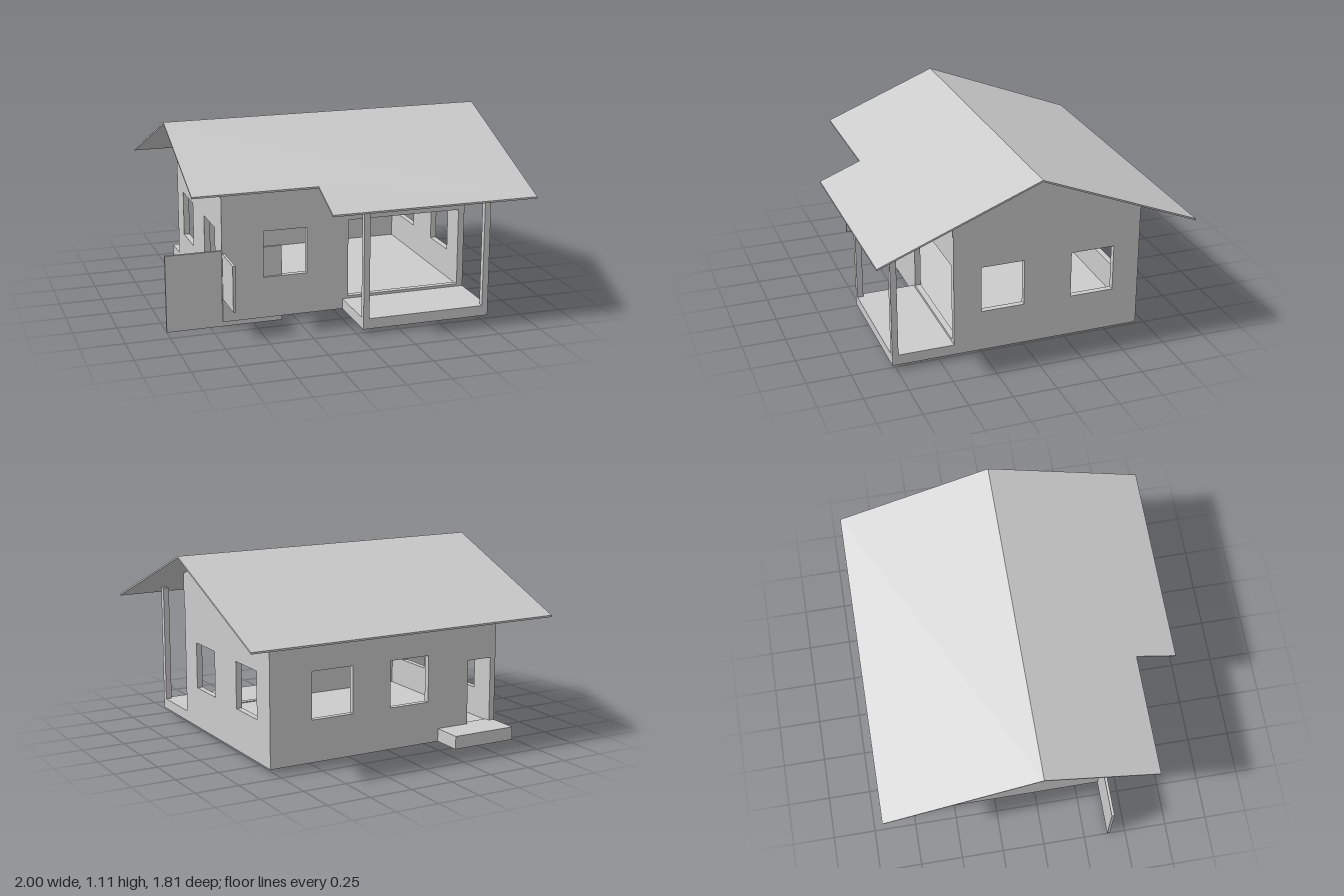
import * as THREE from 'three';

const T = 0.035;                       // wall thickness
const RIDGE = 1.095, SLOPE = 0.398;    // underside of the roof
const roofY = z => RIDGE - SLOPE * Math.abs(z);

const mat = new THREE.MeshStandardMaterial({ color: 0xcccccc, flatShading: true });

function add(parent, name, geo) {
  const m = new THREE.Mesh(geo, mat);
  m.name = name;
  parent.add(m);
  return m;
}

// Box given by its limits on each axis
function box(parent, name, x0, x1, y0, y1, z0, z1) {
  const g = new THREE.BoxGeometry(x1 - x0, y1 - y0, z1 - z0);
  g.translate((x0 + x1) / 2, (y0 + y1) / 2, (z0 + z1) / 2);
  return add(parent, name, g);
}

// Outline with rectangular openings [x0, x1, y0, y1], extruded along z
function panel(points, holes, depth) {
  const shape = new THREE.Shape(points.map(p => new THREE.Vector2(...p)));
  for (const [a, b, c, d] of holes) {
    shape.holes.push(new THREE.Path([[a, c], [a, d], [b, d], [b, c]].map(p => new THREE.Vector2(...p))));
  }
  return new THREE.ExtrudeGeometry(shape, { depth, bevelEnabled: false });
}

const rect = (x0, x1, y0, y1) => [[x0, y0], [x1, y0], [x1, y1], [x0, y1]];

// Roof slope: plan outline in x and -z, laid flat and then sheared to the pitch
function roofSlope(points) {
  const g = panel(points, [], 0.01);
  g.rotateX(-Math.PI / 2);
  const p = g.attributes.position;
  for (let i = 0; i < p.count; i++) p.setY(i, p.getY(i) + roofY(p.getZ(i)));
  g.computeVertexNormals();
  return g;
}

export function createModel() {
  const house = new THREE.Group();
  house.name = 'house';
  const X0 = -0.68, X1 = 0.78, Z0 = -0.68, Z1 = 0.42, BASE = 0.03;
  const winY = [0.27, 0.54];

  // Front wall with a window and the wide porch opening
  const front = panel(rect(X0, X1, BASE, roofY(Z1)),
    [[-0.44, -0.185, ...winY], [0.063, 0.743, 0.105, 0.56]], T);
  add(house, 'frontWall', front.translate(0, 0, Z1 - T));

  // Back wall with two windows and a door
  const back = panel(rect(X0, X1, BASE, roofY(Z0)),
    [[0.27, 0.525, ...winY], [-0.22, 0.03, ...winY], [-0.645, -0.49, 0.105, 0.48]], T);
  add(house, 'backWall', back.translate(0, 0, Z0));

  // Gabled side walls with two windows each
  for (const [name, outer] of [['leftWall', X1], ['rightWall', X0 + T]]) {
    const g = panel(
      [[Z0 + T, BASE], [Z1 - T, BASE], [Z1 - T, roofY(Z1 - T)], [0, RIDGE], [Z0 + T, roofY(Z0 + T)]],
      [[0.01, 0.26, ...winY], [-0.525, -0.27, ...winY]], T);
    g.rotateY(-Math.PI / 2);
    add(house, name, g.translate(outer, 0, 0));
  }

  // Upper gable faces, a hair proud of the walls
  for (const [name, x] of [['leftGable', X1 + 0.002], ['rightGable', X0 + 0.003]]) {
    const g = panel([[Z0 - 0.004, 0.75], [Z1 + 0.004, 0.75], [Z1 + 0.004, roofY(Z1 + 0.004)],
      [0, RIDGE], [Z0 - 0.004, roofY(Z0 - 0.004)]], [], 0.005);
    g.rotateY(-Math.PI / 2);
    add(house, name, g.translate(x, 0, 0));
  }

  // Floor slab and the foundation beams beneath it
  const floor = new THREE.Group();
  floor.name = 'foundation';
  house.add(floor);
  box(floor, 'floorSlab', X0 + T, X1 - T, 0.065, 0.1, Z0 + T, Z1 - T);
  box(floor, 'longMiddleBeam', X0 + T, X1 - T, BASE, 0.07, -0.15, -0.115);
  box(floor, 'crossMiddleBeam', 0.03, 0.065, BASE, 0.07, Z0 + T, Z1 - T);

  // Porch: slab, edge beams and two posts
  const porch = new THREE.Group();
  porch.name = 'porch';
  house.add(porch);
  const PZ = 0.775;
  box(porch, 'porchSlab', 0.065, X1 - T, 0.06, 0.09, Z1, PZ - T);
  box(porch, 'porchFrontBeam', 0.03, X1, BASE, 0.09, PZ - T, PZ);
  for (const x of [0.03, X1 - T]) {
    box(porch, 'porchSideBeam', x, x + T, BASE, 0.09, Z1, PZ - T);
    box(porch, 'porchPost', x, x + T, 0.09, roofY(PZ), PZ - T, PZ);
  }

  // Back doorstep, hollow underneath
  const step = new THREE.Group();
  step.name = 'doorstep';
  house.add(step);
  box(step, 'stepTop', X0, -0.29, 0.075, 0.105, -0.86, Z0);
  box(step, 'stepFront', X0, -0.29, BASE, 0.075, -0.86, -0.86 + T);
  for (const x of [X0, -0.5, -0.29 - T]) {
    box(step, 'stepRib', x, x + T, BASE, 0.075, -0.86 + T, Z0);
  }

  // Roof: plain back slope, front slope cut back on one side of the porch
  const roof = new THREE.Group();
  roof.name = 'roof';
  house.add(roof);
  add(roof, 'backSlope', roofSlope(rect(-0.9, 0.997, 0, 0.908)));
  add(roof, 'frontSlope', roofSlope(
    [[-0.9, 0], [-0.9, -0.665], [-0.195, -0.665], [-0.195, -0.905], [0.997, -0.905], [0.997, 0]]));

  // Door leaves in line with the front wall, and opened window leaves
  box(house, 'outerDoorLeaf', -1, -0.67, 0, 0.445, 0.392, 0.408);
  box(house, 'innerDoorLeaf', -0.67, -0.33, 0, 0.445, 0.392, 0.408);
  box(house, 'outerWindowLeaf', -0.678, -0.663, 0.165, 0.43, 0.4, 0.645);
  box(house, 'innerWindowLeaf', -0.44, -0.425, 0.165, 0.43, 0.16, 0.4);

  return house;
}
